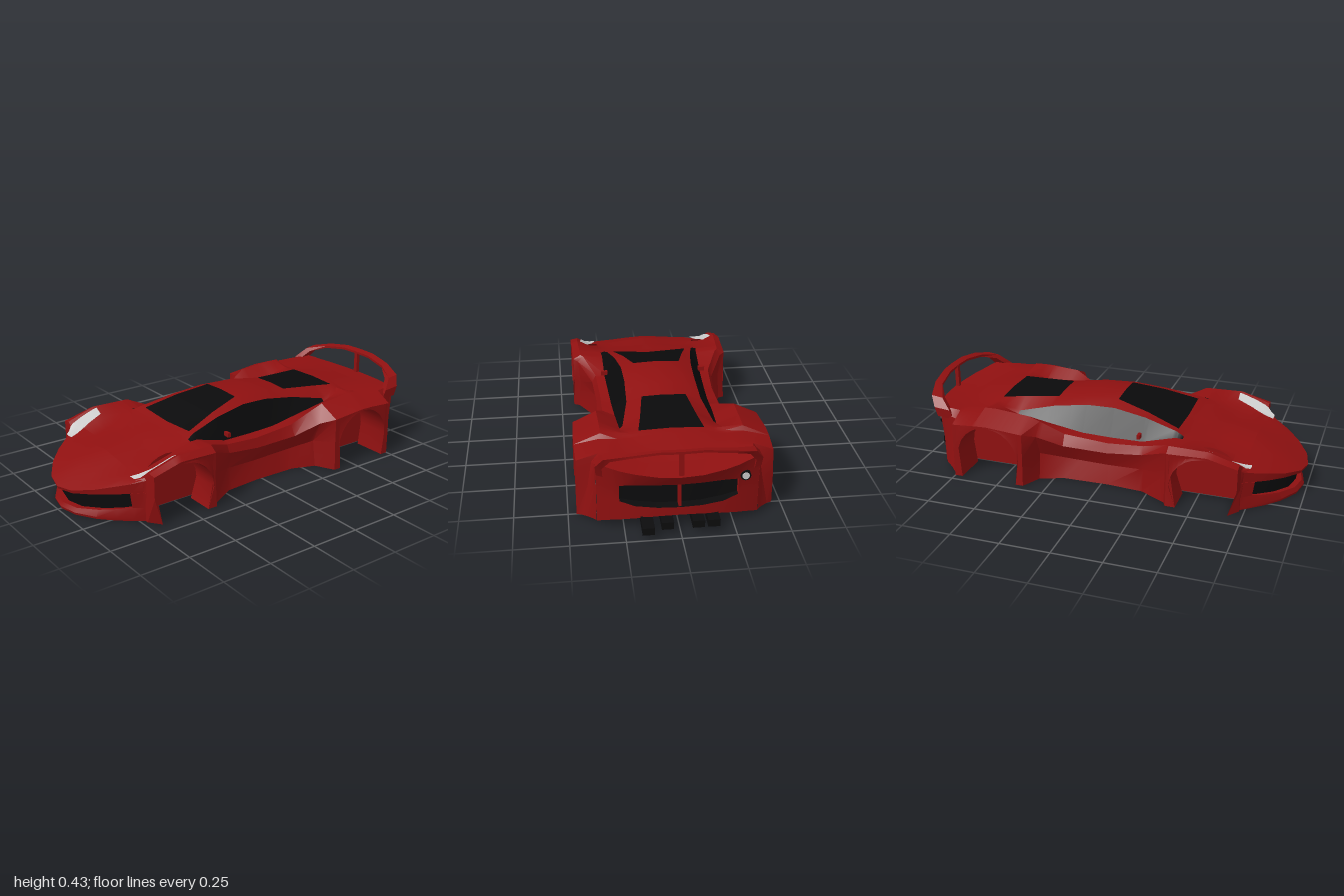
import * as THREE from 'three';
import { toCreasedNormals } from 'three/addons/utils/BufferGeometryUtils.js';

const mats = {
  paint: new THREE.MeshStandardMaterial({ color: 0x8f1010 }),
  glass: new THREE.MeshStandardMaterial({ color: 0x0a0a0b }),
  dark: new THREE.MeshStandardMaterial({ color: 0x0c0c0d }),
  lamp: new THREE.MeshStandardMaterial({ color: 0xcccccc }),
};

// Flanks by z: z, sill x, mid x, shoulder x y, fender crest x y
const FLANK = [
  [0.725, 0.37, 0.37, 0.37, 0.215, 0.355, 0.224],
  [0.72, 0.43, 0.43, 0.43, 0.25, 0.39, 0.258],
  [0.57, 0.43, 0.43, 0.43, 0.288, 0.395, 0.306],
  [0.37, 0.43, 0.42, 0.425, 0.28, 0.385, 0.305],
  [0.355, 0.4, 0.39, 0.4, 0.27, 0.37, 0.3],
  [0.22, 0.325, 0.305, 0.33, 0.205, 0.31, 0.245],
  [0.03, 0.31, 0.285, 0.317, 0.18, 0.3, 0.228],
  [-0.2, 0.315, 0.285, 0.33, 0.19, 0.3, 0.245],
  [-0.32, 0.36, 0.34, 0.39, 0.25, 0.33, 0.31],
  [-0.37, 0.46, 0.455, 0.455, 0.28, 0.34, 0.335],
  [-0.56, 0.46, 0.46, 0.46, 0.298, 0.335, 0.35],
  [-0.62, 0.46, 0.46, 0.46, 0.296, 0.335, 0.348],
  [-0.635, 0.46, 0.46, 0.46, 0.295, 0.345, 0.326],
  [-0.75, 0.46, 0.46, 0.455, 0.285, 0.36, 0.325],
  [-0.765, 0.435, 0.405, 0.385, 0.285, 0.355, 0.325],
  [-0.8, 0.4, 0.38, 0.373, 0.29, 0.35, 0.325],
  [-0.84, 0.372, 0.371, 0.37, 0.3, 0.35, 0.325],
];
// Hood, cabin and deck by z: z, window base x y, window top x y, screen edge x y, centre y
const CABIN = [
  [0.725, 0.32, 0.214, 0.2, 0.217, 0.1, 0.228, 0.24],
  [0.57, 0.32, 0.262, 0.22, 0.25, 0.11, 0.258, 0.27],
  [0.41, 0.27, 0.295, 0.25, 0.3, 0.19, 0.3, 0.295],
  [0.37, 0.265, 0.293, 0.235, 0.315, 0.2, 0.315, 0.304],
  [0.2, 0.262, 0.245, 0.205, 0.352, 0.16, 0.363, 0.363],
  [0.03, 0.255, 0.24, 0.185, 0.373, 0.12, 0.396, 0.402],
  [-0.12, 0.25, 0.242, 0.18, 0.368, 0.115, 0.394, 0.4],
  [-0.3, 0.245, 0.268, 0.185, 0.34, 0.11, 0.365, 0.37],
  [-0.48, 0.235, 0.29, 0.22, 0.303, 0.135, 0.35, 0.356],
  [-0.6, 0.24, 0.335, 0.2, 0.333, 0.155, 0.34, 0.346],
  [-0.635, 0.26, 0.322, 0.2, 0.326, 0.15, 0.335, 0.342],
  [-0.84, 0.3, 0.32, 0.2, 0.312, 0.1, 0.307, 0.305],
];
const WHEELS = [[0.55, 0.11, 0.04], [-0.56, 0.125, 0.02]]; // arch centre z, y, inward tuck at the foot
const R = 0.165;
const FLOOR = 0.016;
const END = -0.84;

function sample(table, z) {
  let i = 0;
  while (i < table.length - 2 && z < table[i + 1][0]) i++;
  const [a, b] = [table[i], table[i + 1]];
  const t = THREE.MathUtils.clamp((z - a[0]) / (b[0] - a[0]), 0, 1);
  return a.map((v, k) => v + (b[k] - v) * t);
}

// Half section at z, from the floor centre round to the roof centre
function halfSection(z) {
  const f = sample(FLANK, z), c = sample(CABIN, z);
  const rise = Math.max(0, -0.75 - z) * 0.22; // underside sweeps up behind the rear wheels
  let xi = f[1] - 0.035, ya = rise, zl = z;
  for (const [zc, yc, tuck] of WHEELS) {
    const d = Math.abs(z - zc);
    if (d < R + 0.006) xi = 0.28;
    if (d < R + 0.001) ya = yc + Math.sqrt(Math.max(0, R * R - d * d));
    else if (d < R + 0.006) zl = z - Math.sign(z - zc) * tuck;
  }
  return [[0, FLOOR + rise, z], [xi, FLOOR + rise, z], [xi, ya, zl], [f[1], ya, zl],
    [f[2], ya + (f[4] - ya) * 0.55, z], [f[3], f[4], z], [f[5], f[6], z],
    [c[1], c[2], z], [c[3], c[4], z], [c[5], c[6], z], [0, c[7], z]];
}

// Height of the upper skin at x, z
function topY(x, z) {
  const p = halfSection(z).slice(5).reverse();
  const ax = Math.abs(x);
  for (let i = 0; i < p.length - 1; i++) {
    if (ax <= p[i + 1][0]) {
      return p[i][1] + (p[i + 1][1] - p[i][1]) * (ax - p[i][0]) / (p[i + 1][0] - p[i][0]);
    }
  }
  return p[p.length - 1][1];
}

// Skin rows of points; partOf(row, column) sorts the faces into materials
function loft(name, rows, partOf = () => 'paint') {
  const group = new THREE.Group();
  group.name = name;
  const buckets = {};
  const tri = (out, ...pts) => {
    const [a, b, c] = pts.map((p) => new THREE.Vector3(...p));
    if (b.clone().sub(a).cross(c.clone().sub(a)).length() > 1e-8) out.push(...pts.flat());
  };
  for (let r = 0; r < rows.length - 1; r++) {
    for (let c = 0; c < rows[r].length - 1; c++) {
      const out = (buckets[partOf(r, c)] ??= []);
      tri(out, rows[r][c], rows[r + 1][c], rows[r + 1][c + 1]);
      tri(out, rows[r][c], rows[r + 1][c + 1], rows[r][c + 1]);
    }
  }
  for (const part in buckets) {
    const g = new THREE.BufferGeometry();
    g.setAttribute('position', new THREE.Float32BufferAttribute(buckets[part], 3));
    const m = new THREE.Mesh(toCreasedNormals(g, 0.5), mats[part]);
    m.name = part === 'paint' ? name : name + ' ' + part;
    group.add(m);
  }
  return group;
}

function body() {
  const zs = [...FLANK, ...CABIN].map((k) => k[0]);
  for (const [zc] of WHEELS) {
    for (const k of [0, 0.3, 0.5, 0.71, 0.87, 0.97, 1, 1.03]) zs.push(zc + k * R, zc - k * R);
  }
  const st = [...new Set(zs.map((z) => +z.toFixed(4)))].sort((a, b) => b - a);
  const rows = st.map((zr) => {
    const h = halfSection(zr);
    return [...h, ...h.slice(0, -1).reverse().map(([x, y, z]) => [-x, y, z])];
  });
  return loft('body', rows, (r, c) => {
    const q = c < 10 ? c : 19 - c;
    const within = (a, b) => st[r] <= a + 1e-4 && st[r + 1] >= b - 1e-4;
    if (q === 7 && within(0.41, -0.48)) return 'glass';
    if (q === 9 && (within(0.37, 0.03) || within(-0.3, -0.6))) return 'glass';
    return 'paint';
  });
}

// Mirror a table of stations (x in the first slot) to run from -x to +x
const bothSides = (t) => [...t.slice(1).reverse().map((s) => [-s[0], ...s.slice(1)]), ...t];

function nose() {
  // x, hood edge y, mouth top y, mouth bottom y, mouth depth
  const st = bothSides([[0, 0.122, 0.108, 0.03, 0.045], [0.1, 0.132, 0.116, 0.033, 0.045],
    [0.2, 0.155, 0.13, 0.045, 0.045], [0.27, 0.178, 0.138, 0.057, 0.045], [0.32, 0.193, 0.145, 0.07, 0.045],
    [0.32, 0.193, 0.145, 0.07, 0], [0.355, 0.207, 0.15, 0.07, 0], [0.37, 0.215, 0.15, 0.07, 0]]).reverse();
  const rows = st.map(([x, ye, mt, mb, d]) => {
    const zo = Math.max(0.725, 0.995 - 2.05 * x * x), y0 = topY(x, 0.725);
    const back = (k) => Math.max(0.725, zo - k);
    return [[y0, 0.725], [(y0 + ye) / 2 + 0.012 * (1 - 8 * x * x), (0.725 + zo) / 2], [ye, zo], [mt, back(0.005)],
      [mt, back(d)], [mb, back(d + 0.01)], [mb, back(0.025)], [0.012, back(0.012)], [0, back(0.015)],
      [0, back(0.05)], [FLOOR, back(0.055)], [FLOOR, 0.725]].map(([y, z]) => [x, y, z]);
  });
  return loft('nose', rows, (r, c) => (c > 2 && c < 5 && st[r][4] && st[r + 1][4] ? 'dark' : 'paint'));
}

function tail() {
  // x, deck edge y, recess top y, recess bottom y, bumper bottom y, recess depth
  const st = bothSides([[0, 0.295, 0.235, 0.115, 0.075, 0.05], [0.1, 0.297, 0.235, 0.115, 0.07, 0.05],
    [0.2, 0.305, 0.232, 0.12, 0.055, 0.05], [0.27, 0.312, 0.222, 0.14, 0.042, 0.03],
    [0.27, 0.312, 0.222, 0.14, 0.042, 0], [0.3, 0.318, 0.22, 0.15, 0.037, 0], [0.35, 0.325, 0.21, 0.15, 0.025, 0],
    [0.37, 0.3, 0.21, 0.15, 0.02, 0], [0.37, 0, 0, 0, 0, -1]]);
  const rows = st.map(([x, ye, mt, mb, yb, d]) => {
    const zo = -0.925 + 0.57 * x * x, cap = d < 0;
    return [[topY(x, END), END], [ye, zo - 0.04 + 0.2 * x * x], [mt, zo], [mt, zo + d], [mb, zo + d],
      [mb, zo + 0.003], [yb, zo + 0.003], [FLOOR + 0.02, END]]
      .map(([y, z], i) => [x, cap ? 0.17 : y, cap && i % 7 ? zo : z]);
  });
  return loft('tail', rows, (r, c) => (c > 1 && c < 5 && st[r][5] > 0 && st[r + 1][5] > 0 ? 'dark' : 'paint'));
}

function rearWing() {
  // x, y, trailing z, chord
  const st = bothSides([[0, 0.43, -0.975, 0.035], [0.1, 0.43, -0.97, 0.035], [0.23, 0.41, -0.955, 0.04],
    [0.34, 0.38, -0.92, 0.06], [0.375, 0.33, -0.89, 0.085], [0.372, 0.28, -0.875, 0.09]]);
  return loft('rearWing', st.map(([x, y, z, c]) => {
    const xi = x - Math.sign(x) * (Math.abs(x) > 0.33 ? 0.03 : 0); // inward thickness at the ends
    return [[x, y - 0.008, z + c], [x, y, z], [xi, y - 0.012, z], [xi, y - 0.02, z + c], [x, y - 0.008, z + c]];
  }));
}

// Lamp strip laid on the skin: z, outer x, inner x
const LAMP = [[0.762, 0.332, 0.287], [0.72, 0.364, 0.3], [0.65, 0.374, 0.324], [0.56, 0.378, 0.336]];

function headlight(s) {
  const rows = [];
  for (let i = 0; i <= 10; i++) {
    const [z, xo, xi] = sample(LAMP, 0.762 - 0.0202 * i);
    rows.push([0, 0.25, 0.5, 0.75, 1].map((t) => {
      const x = xo + (xi - xo) * t;
      return [s * x, topY(x, z) + 0.007 - 0.15 * Math.max(0, z - 0.725), z];
    }));
  }
  return loft('headlight', s > 0 ? rows : rows.reverse(), () => 'lamp');
}

export function createModel() {
  const car = new THREE.Group();
  car.name = 'sportsCar';
  const add = (name, geo, mat, x, y, z) => {
    const m = new THREE.Mesh(geo, mats[mat]);
    m.name = name;
    m.position.set(x, y, z);
    car.add(m);
    return m;
  };
  car.add(body(), nose(), tail(), rearWing());
  add('wingStrut', new THREE.BoxGeometry(0.022, 0.12, 0.02), 'paint', 0, 0.36, -0.947);
  add('tailDivider', new THREE.BoxGeometry(0.012, 0.12, 0.045), 'paint', 0, 0.175, -0.892);

  for (const s of [1, -1]) {
    car.add(headlight(s));
    add('mirror', new THREE.BoxGeometry(0.035, 0.022, 0.016), 'paint', s * 0.265, 0.275, 0.185);
  }

  // Single round fog lamp in a dark bezel
  add('fogLampBezel', new THREE.CylinderGeometry(0.024, 0.024, 0.03, 16), 'dark', -0.3, 0.24, -0.877).rotation.x = Math.PI / 2;
  add('fogLamp', new THREE.CylinderGeometry(0.017, 0.017, 0.034, 16), 'lamp', -0.3, 0.24, -0.878).rotation.x = Math.PI / 2;

  // Exhausts: x, rear end z
  for (const [x, end] of [[0.15, -1], [0.06, -0.965], [-0.08, -0.965], [-0.15, -0.965]]) {
    add('exhaust', new THREE.BoxGeometry(0.055, 0.036, -end - 0.78), 'dark', x, 0.047, (end - 0.78) / 2);
  }
  return car;
}
